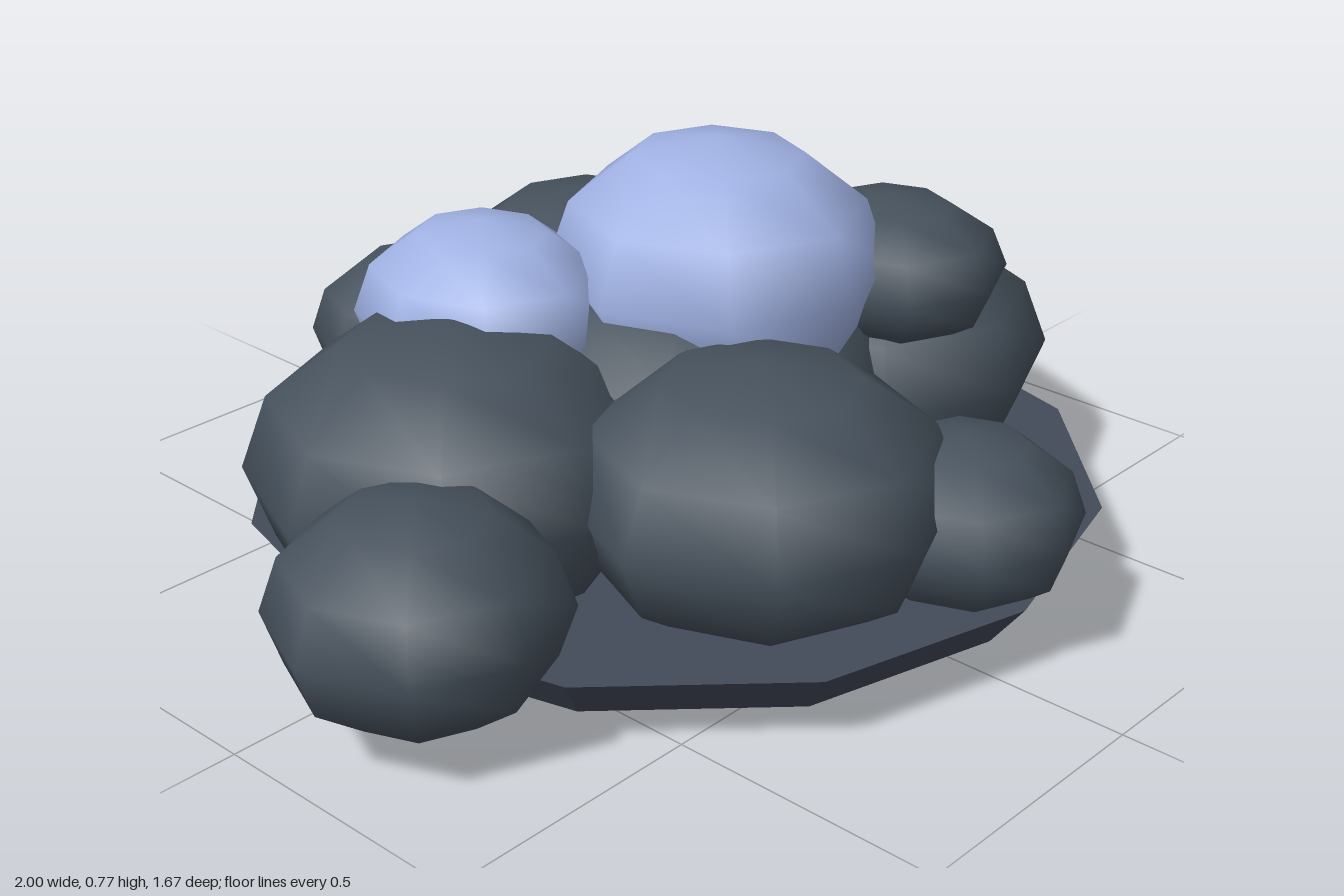
import * as THREE from 'three';

export function createModel() {
  const group = new THREE.Group();
  const slate = new THREE.MeshStandardMaterial({ color: 0x46515c });
  slate.name = 'slate';
  const baseGrey = new THREE.MeshStandardMaterial({ color: 0x434a59, flatShading: true });
  baseGrey.name = 'baseGrey';
  const paleBlue = new THREE.MeshStandardMaterial({ color: 0xa0b2e4 });
  paleBlue.name = 'paleBlue';

  // Flat twelve-sided base, slightly tapered towards the ground
  const base = new THREE.Mesh(new THREE.CylinderGeometry(0.78, 0.715, 0.085, 12), baseGrey);
  base.name = 'base';
  base.position.set(0.02, 0.0925, 0.008);
  group.add(base);

  // Squashed low-poly puffs: name, centre, radii, material
  const ball = new THREE.SphereGeometry(1, 8, 6);
  const puffs = [
    // large body puffs
    ['centrePuff', [0.01, 0.285, 0], [0.42, 0.285, 0.42], slate],
    ['rightPuff', [-0.445, 0.28, -0.08], [0.36, 0.265, 0.36], slate],
    ['leftPuff', [0.455, 0.265, 0.1], [0.355, 0.245, 0.355], slate],
    ['frontPuff', [-0.185, 0.295, 0.39], [0.335, 0.235, 0.335], slate],
    ['backPuff', [0.19, 0.31, -0.38], [0.31, 0.225, 0.31], slate],
    // small outer puffs
    ['smallRightPuff', [-0.75, 0.226, 0.17], [0.25, 0.193, 0.25], slate],
    ['smallLeftPuff', [0.755, 0.219, -0.138], [0.243, 0.182, 0.243], slate],
    ['smallFrontPuff', [0.06, 0.24, 0.63], [0.205, 0.155, 0.205], slate],
    ['smallBackPuff', [-0.035, 0.24, -0.63], [0.21, 0.165, 0.21], slate],
    ['upperPuff', [0.37, 0.487, 0.22], [0.207, 0.138, 0.222], slate],
    // pale top puffs
    ['topPuff', [0.08, 0.53, 0.055], [0.3, 0.24, 0.31], paleBlue],
    ['smallTopPuff', [-0.268, 0.48, -0.18], [0.22, 0.172, 0.24], paleBlue],
  ];
  for (const [name, centre, radii, material] of puffs) {
    const puff = new THREE.Mesh(ball, material);
    puff.name = name;
    puff.position.set(...centre);
    puff.scale.set(...radii);
    group.add(puff);
  }
  return group;
}
